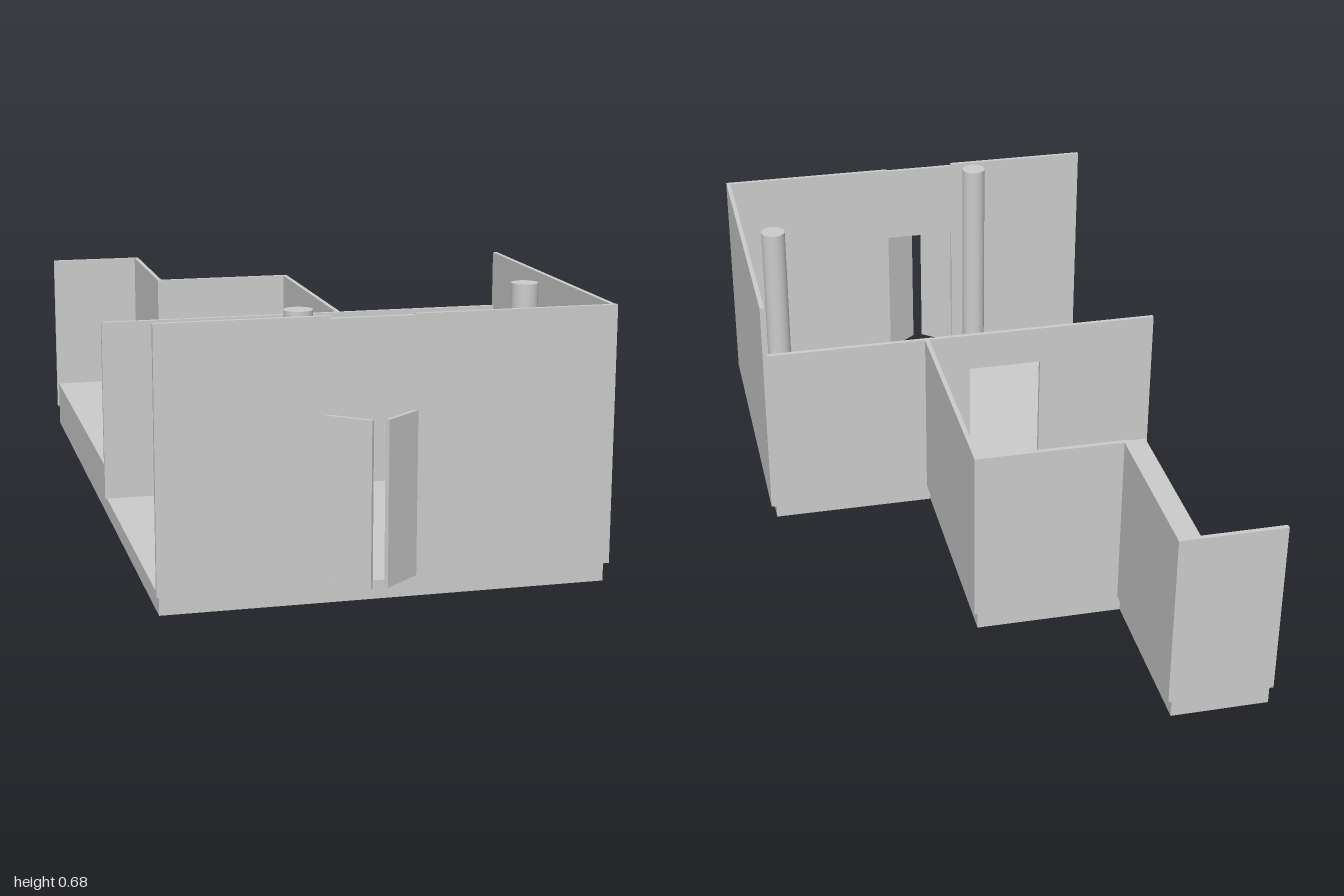
import * as THREE from 'three';

const T = 0.012; // wall thickness

export function createModel() {
  const model = new THREE.Group();
  const material = new THREE.MeshStandardMaterial({ color: 0xcccccc });

  const add = (name, geometry, parent = model) => {
    const mesh = new THREE.Mesh(geometry, material);
    mesh.name = name;
    parent.add(mesh);
    return mesh;
  };

  // Box given by its limits on each axis
  const box = (name, [x0, x1], [y0, y1], [z0, z1], parent) => {
    const mesh = add(name, new THREE.BoxGeometry(x1 - x0, y1 - y0, z1 - z0), parent);
    mesh.position.set((x0 + x1) / 2, (y0 + y1) / 2, (z0 + z1) / 2);
    return mesh;
  };

  // Floors: low slab in the front room, raised stepped slab behind
  box('frontFloor', [-0.545, 0.53], [0, 0.045], [0.088, 0.917]);
  const outline = [[-0.545, 0.088], [0.088, 0.088], [0.088, -0.54], [-0.295, -0.54], [-0.295, -0.987], [-0.545, -0.987]];
  const shape = new THREE.Shape(outline.map(([x, z]) => new THREE.Vector2(x, -z)));
  const slab = new THREE.ExtrudeGeometry(shape, { depth: 0.128, bevelEnabled: false });
  slab.rotateX(-Math.PI / 2);
  add('backFloor', slab);

  // Front wall around the entrance
  const front = new THREE.Group();
  front.name = 'frontWall';
  model.add(front);
  const zFront = [0.917 - T, 0.917];
  box('frontWallLeftPanel', [-0.55, -0.145], [0.043, 0.674], zFront, front);
  box('frontWallLintel', [-0.145, 0.055], [0.445, 0.668], zFront, front);
  box('frontWallRightPanel', [0.055, 0.545], [0.043, 0.671], zFront, front);

  // Tall side wall of the front room
  box('frontRoomSideWall', [0.545 - T, 0.545], [0.043, 0.67], [0.076, 0.917 - T]);

  // Partition with an inner doorway
  const partition = new THREE.Group();
  partition.name = 'partitionWall';
  model.add(partition);
  const zPart = [0.076, 0.076 + T];
  box('partitionLeftPanel', [-0.55, -0.225], [0.045, 0.524], zPart, partition);
  box('partitionLintel', [-0.225, -0.025], [0.42, 0.524], zPart, partition);
  box('partitionRightPanel', [-0.025, 0.545 - T], [0.045, 0.524], zPart, partition);

  // Stepped outer walls of the back rooms
  const yBack = [0.055, 0.524];
  box('backRoomSideWall', [0.1 - T, 0.1], yBack, [-0.555, 0.076]);
  box('backRoomRearWall', [-0.282, 0.1 - T], yBack, [-0.555, -0.555 + T]);
  box('passageSideWall', [-0.282 - T, -0.282], yBack, [-1, -0.555 + T]);
  box('passageRearWall', [-0.55, -0.282 - T], yBack, [-1, -1 + T]);

  // Round columns
  for (const [x, z, top] of [[-0.203, 0.845, 0.679], [0.45, 0.55, 0.667]]) {
    const column = add('column', new THREE.CylinderGeometry(0.034, 0.034, top - 0.045, 32));
    column.position.set(x, (top + 0.045) / 2, z);
  }

  // Entrance door leaves, swung outwards
  for (const side of [-1, 1]) {
    const hinge = new THREE.Group();
    hinge.name = side < 0 ? 'rightDoorLeaf' : 'leftDoorLeaf';
    hinge.position.set(-0.048 + side * 0.104, 0.248, 0.917);
    hinge.rotation.y = side * 0.69;
    const leaf = add('doorPanel', new THREE.BoxGeometry(0.118, 0.396, 0.01), hinge);
    leaf.position.x = -side * 0.054;
    model.add(hinge);
  }

  return model;
}
